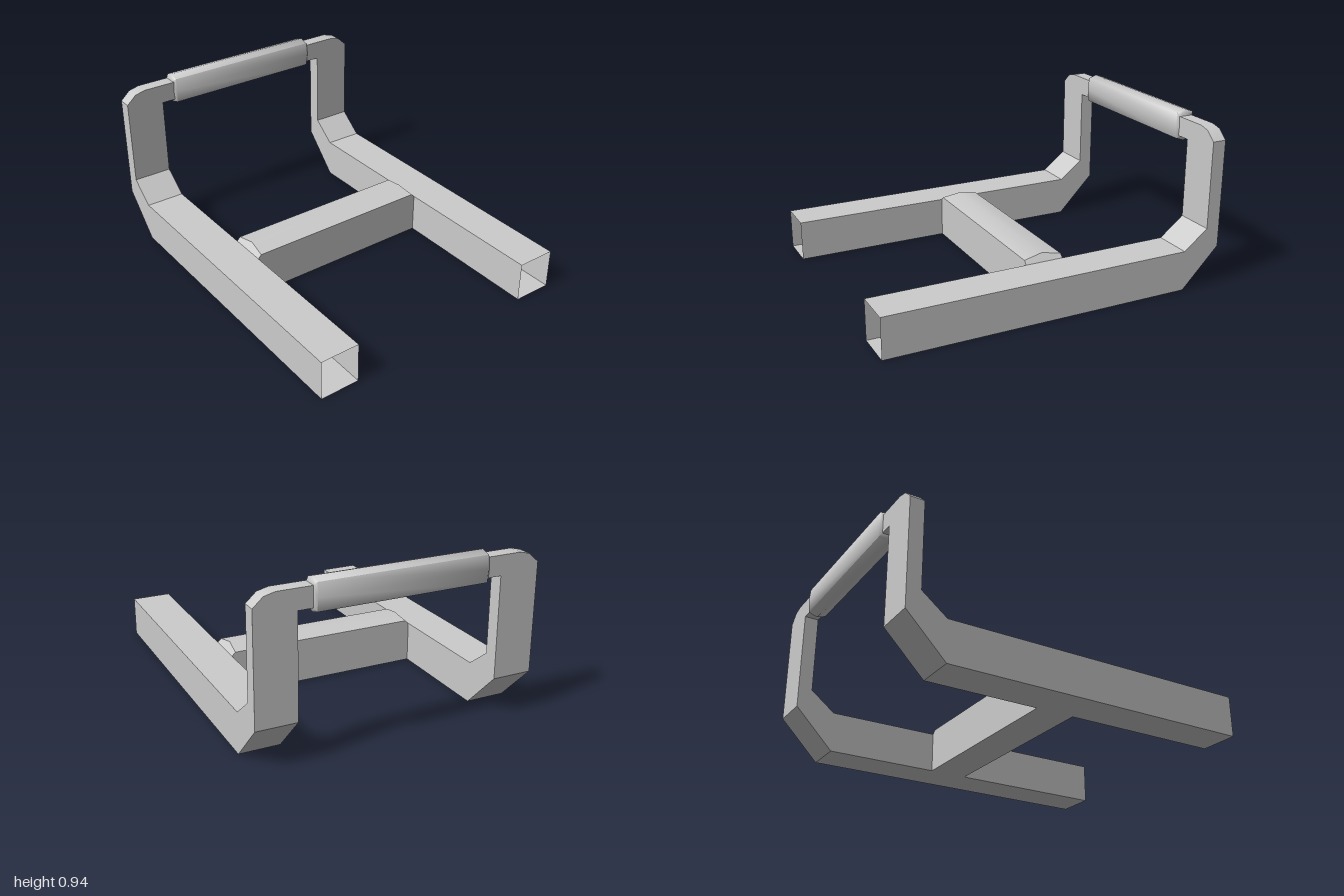
import * as THREE from 'three';
import { toCreasedNormals } from 'three/addons/utils/BufferGeometryUtils.js';

const material = new THREE.MeshStandardMaterial({ color: 0xcccccc, side: THREE.DoubleSide });

// Skins a row of rings; each ring runs counter-clockwise seen from ahead.
function loft(rings, crease, capped = false) {
  const positions = [];
  const triangle = (a, b, c) => {
    const [p, q, r] = [a, b, c].map((v) => new THREE.Vector3(...v));
    if (q.sub(p).cross(r.sub(p)).length() > 1e-7) positions.push(...a, ...b, ...c);
  };
  const n = rings[0].length;
  for (let i = 0; i < rings.length - 1; i++) {
    for (let j = 0; j < n; j++) {
      const k = (j + 1) % n;
      triangle(rings[i][j], rings[i][k], rings[i + 1][k]);
      triangle(rings[i][j], rings[i + 1][k], rings[i + 1][j]);
    }
  }
  if (capped) {
    const first = rings[0], last = rings[rings.length - 1];
    for (let j = 1; j < n - 1; j++) {
      triangle(first[0], first[j + 1], first[j]);
      triangle(last[0], last[j], last[j + 1]);
    }
  }
  const geometry = new THREE.BufferGeometry();
  geometry.setAttribute('position', new THREE.Float32BufferAttribute(positions, 3));
  return toCreasedNormals(geometry, crease);
}

function addPart(group, name, geometry) {
  const mesh = new THREE.Mesh(geometry, material);
  mesh.name = name;
  group.add(mesh);
}

// Square tube, open at the front: floor rail, bent upright and handle arm.
function sideFrame(side) {
  const outer = 0.785, inner = 0.56, back = -0.98, front = -0.9;
  const rings = [];
  // Rail and bend: [lower z, lower y, upper z, upper y]
  for (const [lz, ly, uz, uy] of [
    [1, 0, 1, 0.23],
    [-0.76, 0, -0.76, 0.23],
    [back, 0.225, front, 0.34],
  ]) {
    rings.push([[outer, ly, lz], [inner, ly, lz], [inner, uy, uz], [outer, uy, uz]]);
  }
  // Rounded corner and arm: [outer x, outer y, inner x, inner y]
  for (const [ox, oy, ix, iy] of [
    [outer, 0.835, inner, 0.79],
    [0.73, 0.885, inner, 0.79],
    [0.67, 0.9, inner, 0.79],
    [0.46, 0.9, 0.46, 0.79],
  ]) {
    rings.push([[ox, oy, back], [ix, iy, back], [ix, iy, front], [ox, oy, front]]);
  }
  const placed = rings.map((ring) => {
    const points = ring.map(([x, y, z]) => [x * side, y, z]);
    return side < 0 ? points.reverse() : points;
  });
  return loft(placed, 0.6);
}

// Crossbar with a low ridged top whose ends slope down to the rails.
function crossbar() {
  const ring = (side, end) => [
    [0.56, 0, 0.1],
    [0.56, 0, -0.12],
    [end ? 0.56 : 0.54, end ? 0.23 : 0.25, -0.12],
    [end ? 0.56 : 0.53, end ? 0.23 : 0.27, -0.01],
    [end ? 0.56 : 0.54, end ? 0.23 : 0.25, 0.1],
  ].map(([x, y, z]) => [x * side, y, z]);
  return loft([ring(-1, true), ring(-1, false), ring(1, false), ring(1, true)], 0.6);
}

// Flattened eight-sided grip with chamfered ends.
function grip() {
  const profile = [
    [0.05, -0.073], [0, -0.09], [-0.05, -0.073], [-0.057, 0],
    [-0.05, 0.073], [0, 0.09], [0.05, 0.073], [0.057, 0],
  ];
  const rings = [[-0.482, 0.78], [-0.468, 1], [0.468, 1], [0.482, 0.78]].map(([x, s]) =>
    profile.map(([z, y]) => [x, 0.845 + y * s, -0.943 + z * s]));
  return loft(rings, 1.2, true);
}

export function createModel() {
  const group = new THREE.Group();
  group.name = 'pushUpFrame';
  addPart(group, 'leftSideFrame', sideFrame(1));
  addPart(group, 'rightSideFrame', sideFrame(-1));
  addPart(group, 'crossbar', crossbar());
  addPart(group, 'grip', grip());
  return group;
}
